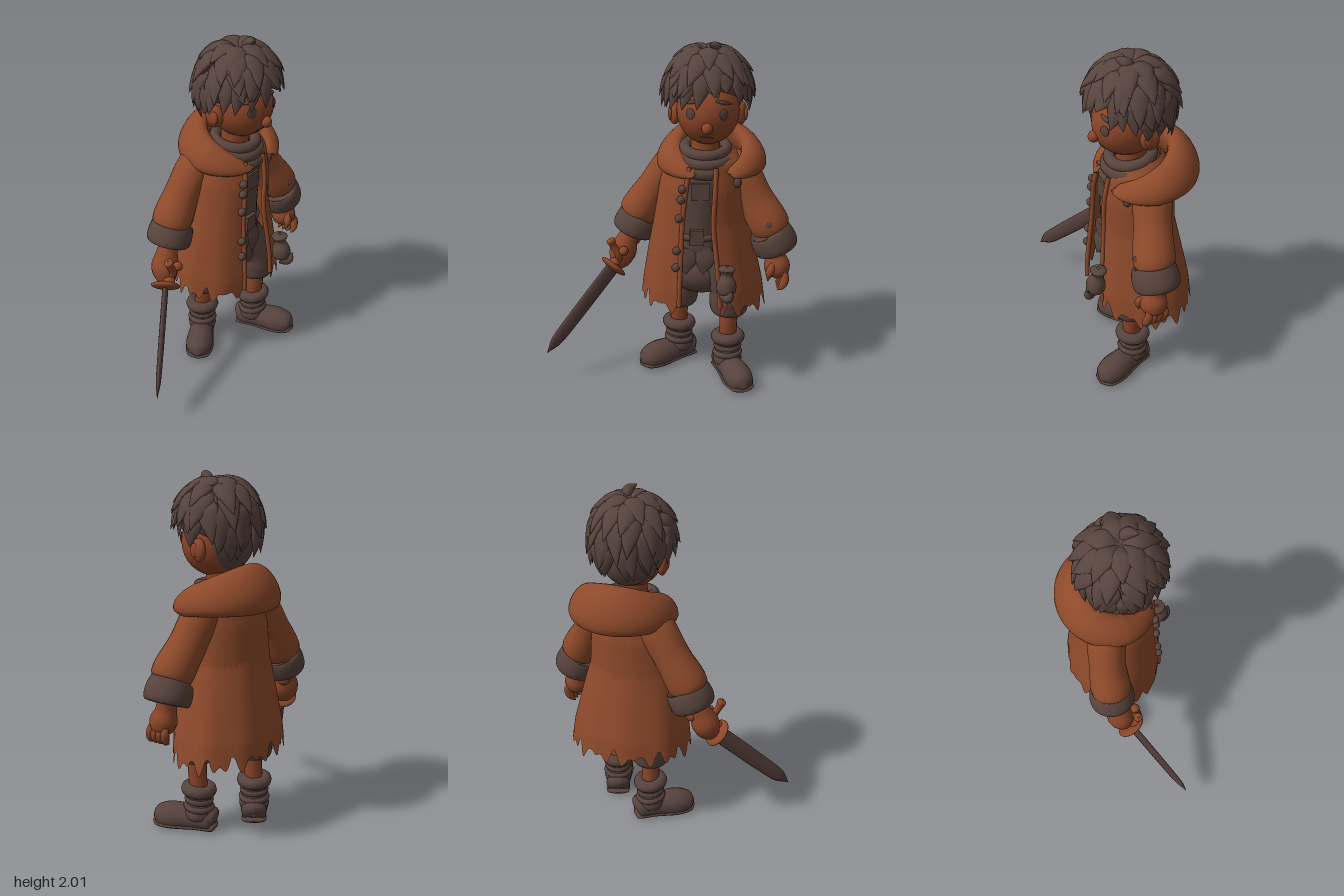
import * as THREE from 'three';
import { ParametricGeometry } from 'three/addons/geometries/ParametricGeometry.js';

const V = (x, y, z) => new THREE.Vector3(x, y, z);
const paint = (name, color) => {
  const m = new THREE.MeshStandardMaterial({ color, side: THREE.DoubleSide });
  m.name = name;
  return m;
};

export function createModel() {
  const coatMat = paint('rust coat', 0x8e4a2b);
  const skin = paint('warm skin', 0x8a4528);
  const hairMat = paint('dark brown hair', 0x58443e);
  const dark = paint('dark brown cloth', 0x58433c);
  const leather = paint('boot leather', 0x57433e);
  const steel = paint('dark blade', 0x553f3c);
  const brass = paint('rust guard', 0x8a4628);

  const model = new THREE.Group();
  model.name = 'swordBoy';
  const add = (name, geo, mat, parent = model) => {
    const m = new THREE.Mesh(geo, mat);
    m.name = name;
    parent.add(m);
    return m;
  };
  const ball = (name, p, s, mat) => {
    const m = add(name, new THREE.SphereGeometry(1, 24, 16), mat);
    m.position.set(...p);
    m.scale.set(...s);
    return m;
  };
  // Tapering tube through [x, y, z, radius] rows; flat squashes it along ref
  const limb = (name, rows, mat, { ref = V(1, 0, 0), flat = 1, nu = 20, nv = 14, parent } = {}) => {
    const path = new THREE.CatmullRomCurve3(rows.map(r => V(r[0], r[1], r[2])));
    const rad = new THREE.CatmullRomCurve3(rows.map((r, i) => V(r[3], i, 0)));
    const geo = new ParametricGeometry((u, v, out) => {
      const T = path.getTangent(u), N = T.clone().cross(ref).normalize(), B = N.clone().cross(T);
      const r = Math.max(rad.getPoint(u).x, 0.001), a = v * Math.PI * 2;
      out.copy(path.getPoint(u)).addScaledVector(N, r * Math.cos(a)).addScaledVector(B, r * flat * Math.sin(a));
    }, nu, nv);
    return add(name, geo, mat, parent);
  };

  // Coat: flared shell, open at the front (+x), with a ragged hem
  const rows = [ // y, centre x, radius x, centre z, radius z
    [1.42, -0.03, 0.13, -0.2, 0.14], [1.34, -0.03, 0.19, -0.2, 0.22], [1.2, -0.03, 0.215, -0.19, 0.245],
    [1.0, -0.03, 0.22, -0.18, 0.265], [0.8, -0.04, 0.25, -0.19, 0.31], [0.6, -0.05, 0.28, -0.2, 0.35],
    [0.4, -0.06, 0.29, -0.205, 0.375]];
  const coatAt = (a, y, grow = 0) => {
    let i = 0;
    while (i < rows.length - 2 && rows[i + 1][0] > y) i++;
    const t = (rows[i][0] - y) / (rows[i][0] - rows[i + 1][0]);
    const [cx, rx, cz, rz] = [1, 2, 3, 4].map(k => THREE.MathUtils.lerp(rows[i][k], rows[i + 1][k], t));
    const fold = 1 + 0.02 * Math.sin(9 * a) * Math.max(0, 1.2 - y);
    return V(cx + (rx * fold + grow) * Math.cos(a), y, cz + (rz * fold + grow) * Math.sin(a));
  };
  const A0 = 0.42, A1 = Math.PI * 2 - 0.25;
  const hem = a => 0.57 - 0.065 * Math.abs(Math.sin(a * 8)) - 0.05 * Math.abs(Math.sin(a * 12.7 + 1)) ** 2
    - 0.03 * Math.max(0, -Math.sin(a));
  add('coat', new ParametricGeometry((u, v, out) => {
    const a = THREE.MathUtils.lerp(A0, A1, u);
    out.copy(coatAt(a, THREE.MathUtils.lerp(1.42, hem(a), v)));
  }, 160, 30), coatMat);
  for (const a of [A0, A1]) { // rolled front edges
    const pts = [1.34, 1.2, 1.0, 0.8, 0.65, 0.52].map(y => [...coatAt(a, y).toArray(), 0.014]);
    limb('coatEdge', pts, coatMat);
  }
  for (const y of [1.22, 1.16, 1.05, 0.86, 0.76])
    ball('button', coatAt(A0 + 0.07, y, 0.012).toArray(), [0.022, 0.024, 0.024], dark);
  ball('chestPatch', coatAt(-0.85, 1.24, 0.002).toArray(), [0.02, 0.03, 0.025], dark);

  // Hood lying on the shoulders: horseshoe roll, tall at the back, pointed at the front
  add('hood', new ParametricGeometry((u, v, out) => {
    const a = THREE.MathUtils.lerp(0.36, Math.PI * 2 - 0.36, u), p = v * Math.PI * 2;
    const k = (1 - Math.cos(a)) / 2, end = Math.min(1, Math.sqrt(Math.sin(Math.PI * u) * 1.8));
    const r = (0.055 + 0.02 * k) * end * Math.cos(p) - (0.02 + 0.03 * k) * Math.sin(p);
    out.set(-0.045 + (0.22 + r) * Math.cos(a), 1.3 + 0.11 * k ** 0.8 + (0.075 + 0.05 * k * k) * end * Math.sin(p),
      -0.236 + (0.235 + r) * Math.sin(a));
  }, 60, 20), coatMat);

  // Shirt, belt, scarf and neck
  limb('shirt', [[-0.03, 0.72, -0.18, 0.05], [-0.03, 0.78, -0.18, 0.17], [-0.02, 1.0, -0.17, 0.17],
    [-0.02, 1.25, -0.18, 0.17], [-0.02, 1.36, -0.2, 0.12], [-0.02, 1.4, -0.2, 0.02]], dark, { nv: 28 });
  for (const z of [-0.1, -0.2])
    limb('shirtTail', [[0.14, 0.86, z, 0.04], [0.15, 0.78, z, 0.055], [0.155, 0.7, z + 0.01, 0.004]], dark, { flat: 0.2 });
  const belt = add('belt', new THREE.TorusGeometry(0.168, 0.02, 10, 32), dark);
  belt.position.set(-0.02, 0.92, -0.17);
  belt.rotation.x = Math.PI / 2;
  add('buckle', new THREE.BoxGeometry(0.03, 0.09, 0.08), dark).position.set(0.155, 0.93, -0.155);
  add('shirtFlap', new THREE.BoxGeometry(0.02, 0.1, 0.1), dark).position.set(0.15, 1.2, -0.17);
  for (const [y, r, t] of [[1.32, 0.14, 0.035], [1.365, 0.13, 0.035], [1.41, 0.115, 0.032]]) {
    const s = add('scarf', new THREE.TorusGeometry(r, t, 12, 32), dark);
    s.position.set(0.0, y, -0.2);
    s.rotation.set(Math.PI / 2, -0.15, 0);
  }
  add('neck', new THREE.CylinderGeometry(0.08, 0.08, 0.2, 20), skin).position.set(0, 1.43, -0.2);

  // Sleeves, cuffs and hands
  limb('rightSleeve', [[-0.07, 1.38, -0.08, 0.02], [-0.115, 1.3, -0.03, 0.1], [-0.145, 1.12, 0.09, 0.103],
    [-0.15, 0.96, 0.19, 0.11], [-0.15, 0.92, 0.21, 0.02]], coatMat, { nv: 20 });
  limb('leftSleeve', [[-0.04, 1.38, -0.32, 0.02], [-0.03, 1.3, -0.38, 0.1], [0.01, 1.12, -0.48, 0.103],
    [0.05, 0.95, -0.58, 0.11], [0.05, 0.91, -0.6, 0.02]], coatMat, { nv: 20 });
  for (const [x, y, z, s] of [[-0.15, 0.9, 0.195, 1], [0.05, 0.875, -0.595, -1]]) {
    limb('cuff', [[x, y + 0.065, z - 0.03 * s, 0.05], [x, y + 0.06, z - 0.025 * s, 0.11], [x, y, z, 0.13],
      [x, y - 0.055, z + 0.025 * s, 0.118], [x, y - 0.06, z + 0.027 * s, 0.05]], dark, { nv: 24 });
  }
  ball('sleevePatch', [-0.11, 1.265, 0.088], [0.033, 0.026, 0.012], dark).rotation.x = -0.5;
  ball('sleevePatch', [0.148, 1.0, -0.555], [0.012, 0.02, 0.02], dark);
  limb('rightHand', [[-0.14, 0.86, 0.22, 0.05], [-0.13, 0.8, 0.25, 0.062], [-0.12, 0.72, 0.28, 0.08],
    [-0.1, 0.65, 0.3, 0.055], [-0.09, 0.61, 0.31, 0.005]], skin);
  limb('leftHand', [[0.05, 0.85, -0.61, 0.05], [0.06, 0.78, -0.61, 0.058], [0.07, 0.72, -0.62, 0.075],
    [0.075, 0.67, -0.62, 0.06], [0.08, 0.64, -0.62, 0.005]], skin);
  for (let i = 0; i < 4; i++) {
    const x = 0.025 + i * 0.033;
    limb('leftFinger', [[x, 0.71, -0.65, 0.01], [x, 0.67, -0.665, 0.023], [x + 0.01, 0.62, -0.65, 0.022],
      [x + 0.012, 0.595, -0.62, 0.003]], skin, { nu: 10, nv: 8 });
    ball('rightFinger', [-0.05 - i * 0.024, 0.68 + i * 0.034, 0.325 - i * 0.03], [0.034, 0.026, 0.034], skin);
  }
  limb('leftThumb', [[0.11, 0.76, -0.6, 0.01], [0.135, 0.71, -0.575, 0.024], [0.13, 0.65, -0.565, 0.004]], skin);

  // Sword
  const tip = V(0.2, 0.2, 0.72), guardAt = V(-0.07, 0.64, 0.335);
  const dir = tip.clone().sub(guardAt).normalize();
  const along = (d, r) => [...guardAt.clone().addScaledVector(dir, d).toArray(), r];
  limb('blade', [along(0, 0.05), along(0.2, 0.05), along(0.4, 0.048), along(0.55, 0.04), along(0.64, 0.001)],
    steel, { ref: V(0.8, 0, -0.57), flat: 0.35, nv: 8 });
  limb('grip', [along(0, 0.025), along(-0.1, 0.025), along(-0.2, 0.025)], brass);
  ball('pommel', along(-0.21, 0).slice(0, 3), [0.035, 0.035, 0.035], brass);
  const guard = ball('guard', guardAt.toArray(), [0.085, 0.022, 0.085], brass);
  guard.quaternion.setFromUnitVectors(V(0, 1, 0), dir);
  limb('guardHook', [[-0.07, 0.67, 0.3, 0.02], [-0.04, 0.73, 0.3, 0.022], [-0.035, 0.79, 0.33, 0.02],
    [-0.03, 0.83, 0.345, 0.026], [-0.03, 0.84, 0.35, 0.003]], brass);
  ball('hookKnob', [-0.03, 0.76, 0.27], [0.028, 0.028, 0.028], brass);

  // Shorts, legs and boots
  ball('pelvis', [-0.03, 0.66, -0.19], [0.16, 0.15, 0.2], dark);
  const leg = (side, x, z, hip, lift, turn) => {
    limb(side + 'Shorts', [[-0.03, 0.84, hip, 0.05], [-0.03, 0.78, hip, 0.13], [x, 0.58, z, 0.115],
      [x, 0.46 + lift, z, 0.115], [x, 0.39 + lift, z, 0.098], [x, 0.365 + lift, z, 0.01]], dark, { nv: 20 });
    limb(side + 'Leg', [[x, 0.46, z, 0.056], [x, 0.34, z, 0.053], [x - 0.01, 0.22, z, 0.05]], skin);
    const boot = new THREE.Group();
    boot.name = side + 'Boot';
    boot.position.set(x - 0.01, 0, z);
    boot.rotation.y = turn;
    model.add(boot);
    limb('shaft', [[0, 0.27, 0, 0.03], [0, 0.25, 0, 0.075], [0, 0.16, 0, 0.075], [0, 0.08, 0, 0.085], [0, 0.03, 0, 0.03]],
      leather, { parent: boot });
    for (const [y, r, t] of [[0.24, 0.066, 0.036], [0.18, 0.064, 0.02], [0.135, 0.07, 0.02]]) {
      const c = add('bootFold', new THREE.TorusGeometry(r, t, 10, 24), leather, boot);
      c.position.y = y;
      c.rotation.set(Math.PI / 2, 0.1, 0);
    }
    const foot = limb('foot', [[-0.1, 0.05, 0, 0.01], [-0.08, 0.06, 0, 0.07], [0.05, 0.06, 0, 0.074], [0.16, 0.055, 0, 0.084],
      [0.24, 0.045, 0, 0.064], [0.275, 0.035, 0, 0.005]], leather, { ref: V(0, 1, 0), parent: boot });
    const p = foot.geometry.attributes.position;
    for (let i = 0; i < p.count; i++) p.setY(i, Math.max(0.005, p.getY(i)));
    limb('sole', [[-0.105, 0.018, 0, 0.01], [-0.09, 0.018, 0, 0.068], [0.02, 0.018, 0, 0.072], [0.16, 0.018, 0, 0.087],
      [0.25, 0.018, 0, 0.064], [0.28, 0.018, 0, 0.005]], leather, { ref: V(0, 1, 0), flat: 0.24, parent: boot });
  };
  leg('right', -0.12, -0.058, -0.12, 0, -0.98);
  leg('left', 0.06, -0.35, -0.24, 0.03, 0.35);

  // Pouch hanging at the left front
  limb('pouch', [[0.275, 0.62, -0.32, 0.01], [0.275, 0.65, -0.32, 0.05], [0.27, 0.7, -0.32, 0.054], [0.26, 0.75, -0.32, 0.034],
    [0.255, 0.785, -0.32, 0.048], [0.255, 0.8, -0.32, 0.01]], dark);
  limb('pouchTail', [[0.28, 0.64, -0.3, 0.03], [0.32, 0.635, -0.33, 0.028], [0.335, 0.68, -0.35, 0.004]], dark, { ref: V(0, 0, 1) });

  // Head and face
  const HC = V(0.03, 1.63, -0.21), HR = V(0.185, 0.185, 0.172);
  ball('head', HC.toArray(), HR.toArray(), skin);
  const face = (y, z, out = 0) => [HC.x + out + HR.x * Math.sqrt(1 - ((y - HC.y) / HR.y) ** 2 - ((z - HC.z) / HR.z) ** 2), y, z];
  ball('nose', [0.212, 1.575, -0.2], [0.032, 0.032, 0.03], skin);
  limb('mouth', [-0.235, -0.2, -0.165].map((z, i) => [...face(1.515 + (i === 1 ? 0.004 : 0), z), 0.003]), dark);
  for (const s of [-1, 1]) {
    const eye = ball('eye', face(1.648, -0.2 + s * 0.088), [0.008, 0.03, 0.026], dark);
    eye.rotation.y = -s * 0.5;
    limb('brow', [0.045, 0.085, 0.125].map((d, i) => [...face(1.72 - i * 0.012, -0.2 + s * d, 0.003), [0.006, 0.011, 0.004][i]]), hairMat);
    ball('ear', [-0.005, 1.605, -0.21 + s * 0.183], [0.05, 0.065, 0.03], skin).rotation.y = s * 0.4;
    ball('earHollow', [0.008, 1.605, -0.21 + s * 0.206], [0.026, 0.038, 0.012], skin);
  }

  // Hair: skull cap covered by layered pointed locks that lift off at the tips
  ball('hairCap', [-0.025, 1.775, -0.205], [0.185, 0.175, 0.195], hairMat);
  ball('hairNape', [-0.065, 1.66, -0.205], [0.13, 0.18, 0.155], hairMat);
  const HAIR = V(0.005, 1.755, -0.205);
  const onHair = (a, p, k) => {
    const side = Math.sin(p > 1.57 ? 1.57 + (p - 1.57) * 0.65 : p) * 0.208 * k;
    return HAIR.clone().add(V(side * Math.cos(a), 0.205 * k * Math.cos(p), side * Math.sin(a)));
  };
  const lock = (a, p0, p1, w, twist, flare) => {
    const pts = [[0, 0.9, 0.3], [0.3, 1.03, 0.9], [0.55, 1.08, 0.85], [0.8, 1.08 + flare * 0.5, 0.45], [1, 1.08 + flare, 0.02]]
      .map(([t, k, r]) => [...onHair(a + twist * t, p0 + (p1 - p0) * t, k).toArray(), r * w]);
    limb('hairLock', pts, hairMat, { ref: onHair(a, (p0 + p1) / 2, 1).sub(HAIR).normalize(), flat: 0.42, nu: 14, nv: 10 });
  };
  // start angle, end angle, count, extra length towards the back, lift of the tips
  const layers = [[0.05, 1.0, 7, 0, 0.1], [0.3, 1.3, 10, 0.1, 0.17], [0.65, 1.5, 11, 0.35, 0.2],
    [0.95, 1.55, 13, 0.75, 0.17], [1.3, 1.6, 14, 1.0, 0.1]];
  layers.forEach(([p0, p1, n, drop, flare], l) => {
    for (let i = 0; i < n; i++) {
      const a = (i + l * 0.37) / n * Math.PI * 2, b = (1 - Math.cos(a)) / 2;
      if (l === 4 && b < 0.42) continue;
      lock(a, p0 + 0.05 * Math.sin(i * 3.1), p1 + drop * b + 0.1 * Math.sin(i * 2.4 + l), 0.062, 0.25 * Math.sin(i * 1.7 + l), flare);
    }
  });
  // Fringe swept to both sides of the brow
  for (const [a, p1, twist] of [[0.1, 1.85, 0.15], [0.4, 1.9, 0.2], [0.75, 1.95, 0.2], [1.1, 1.95, 0.1],
    [-0.75, 1.8, -0.2], [-1.05, 1.92, -0.15]]) lock(a, 0.85, p1, 0.056, twist, 0.14);
  limb('crownTuft', [[0.02, 1.93, -0.25, 0.03], [0.06, 1.975, -0.24, 0.03], [0.1, 1.998, -0.21, 0.002]], hairMat, { ref: V(0, 1, 0) });
  return model;
}
